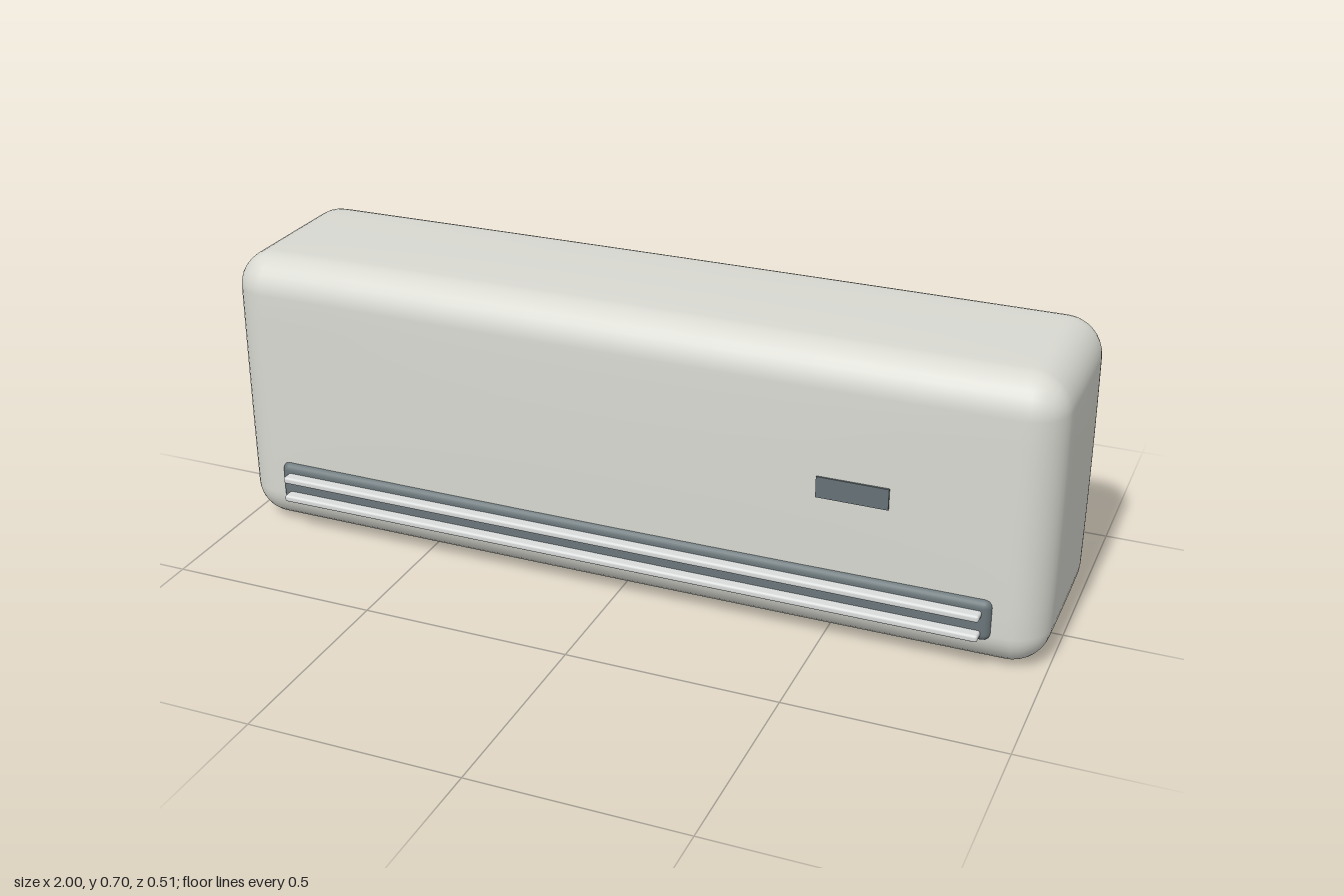
import * as THREE from 'three';
import { mergeVertices } from 'three/addons/utils/BufferGeometryUtils.js';
import { RoundedBoxGeometry } from 'three/addons/geometries/RoundedBoxGeometry.js';

const material = (name, color) => {
  const m = new THREE.MeshStandardMaterial({ color });
  m.name = name;
  return m;
};

// Rounded box whose six faces swell outward slightly
function swollenBox(size, radius, swell) {
  const n = 16, corner = 4;
  let g = new THREE.BoxGeometry(2, 2, 2, n, n, n);
  g.deleteAttribute('normal');
  g.deleteAttribute('uv');
  g = mergeVertices(g);
  const p = g.attributes.position;
  const inner = size.map((s) => s / 2 - radius);
  const flat = 1 - (2 * corner) / n;
  for (let i = 0; i < p.count; i++) {
    const u = [p.getX(i), p.getY(i), p.getZ(i)];
    // flat part of each axis, and the angle-spaced offset into the corner
    const base = u.map((c, k) => THREE.MathUtils.clamp(c / flat, -1, 1) * inner[k]);
    const off = u.map((c) => {
      const t = Math.max(0, Math.abs(c) - flat) / (1 - flat);
      return Math.sign(c) * Math.tan((t * Math.PI) / 4);
    });
    const dir = new THREE.Vector3(...off).normalize().toArray();
    const q = base.map((b, k) => b + dir[k] * radius);
    const e = q.map((v, k) => Math.max(0, 1 - ((2 * v) / size[k]) ** 2));
    const out = q.map((v, k) => v + dir[k] * swell * e[(k + 1) % 3] * e[(k + 2) % 3]);
    p.setXYZ(i, ...out);
  }
  g.computeVertexNormals();
  return g;
}

export function createModel() {
  const group = new THREE.Group();
  group.name = 'wallAirConditioner';
  const shell = material('warm white plastic', 0xd9d9d2);
  const ventGrey = material('vent grey', 0x6b777b);
  const displayGrey = material('display grey', 0x667175);
  const slatWhite = material('slat light grey', 0xdadddc);

  const add = (name, geometry, mat, x, y, z) => {
    const mesh = new THREE.Mesh(geometry, mat);
    mesh.name = name;
    mesh.position.set(x, y, z);
    group.add(mesh);
  };

  // Main casing
  add('casing', swollenBox([1.988, 0.688, 0.468], 0.085, 0.006), shell, 0, 0.35, -0.018);

  // Air outlet frame with two protruding slats
  add('ventFrame', new RoundedBoxGeometry(1.76, 0.1, 0.06, 3, 0.018), ventGrey, 0, 0.13, 0.201);
  for (const y of [0.1, 0.149]) {
    add('ventSlat', new RoundedBoxGeometry(1.72, 0.017, 0.05, 2, 0.006), slatWhite, 0, y, 0.232);
  }

  // Status display
  add('display', new THREE.BoxGeometry(0.164, 0.05, 0.02), displayGrey, 0.558, 0.379, 0.2145);

  return group;
}
